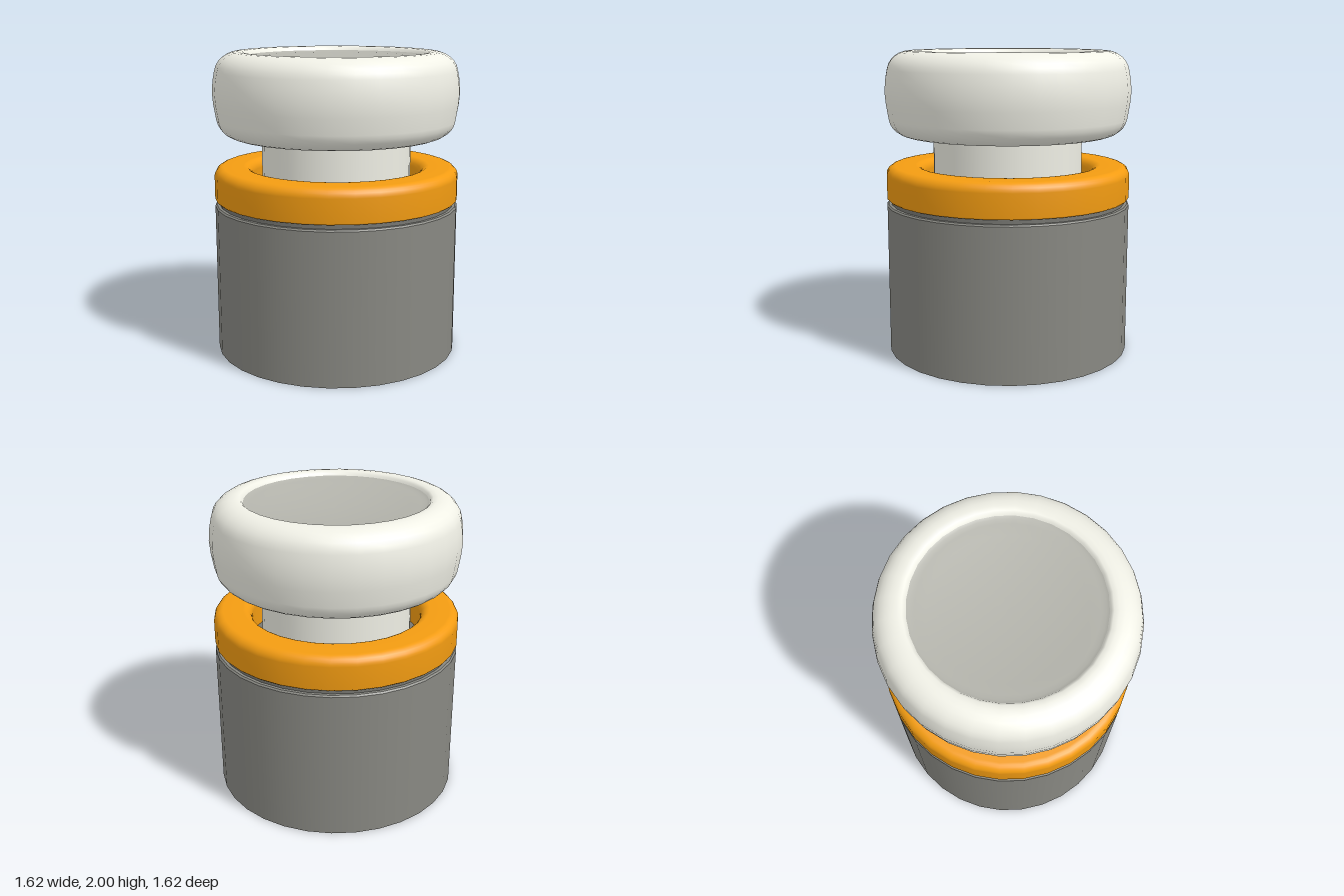
import * as THREE from 'three';

const SEGMENTS = 32;

// Revolves a profile of [radius, height] points; a repeated point makes a sharp edge.
function turned(name, color, profile) {
  const points = profile.map(([r, y]) => new THREE.Vector2(r, y));
  const mesh = new THREE.Mesh(
    new THREE.LatheGeometry(points, SEGMENTS),
    new THREE.MeshStandardMaterial({ color })
  );
  mesh.name = name;
  return mesh;
}

// Points of a quarter ellipse around (cx, cy), from angle a0 to a1 in degrees.
function arc(cx, cy, rx, ry, a0, a1, steps = 6) {
  return Array.from({ length: steps + 1 }, (_, i) => {
    const a = THREE.MathUtils.degToRad(a0 + ((a1 - a0) * i) / steps);
    return [cx + rx * Math.cos(a), cy + ry * Math.sin(a)];
  });
}

export function createModel() {
  const model = new THREE.Group();
  model.name = 'pushButton';

  // Cylindrical housing with a slightly eased top edge
  model.add(turned('housing', 0x888882, [
    [0, 0], [0.81, 0], [0.81, 0],
    [0.81, 0.99], [0.81, 0.99], [0.8, 1], [0.8, 1], [0, 1],
  ]));

  // Recessed spacer between housing and collar
  model.add(turned('spacer', 0x777772, [
    [0.78, 1], [0.78, 1.035], [0.78, 1.035], [0, 1.035],
  ]));

  // Collar ring with rounded edges and an open centre
  model.add(turned('collar', 0xf39c12, [
    [0.56, 1.03], [0.8, 1.03], [0.8, 1.03],
    [0.81, 1.04],
    ...arc(0.75, 1.19, 0.06, 0.06, 0, 90),
    ...arc(0.62, 1.19, 0.06, 0.06, 90, 180),
    [0.56, 1.03],
  ]));

  // Plunger stem
  model.add(turned('stem', 0xeeeee4, [[0.495, 1.0], [0.495, 1.5]]));

  // Cushion-shaped cap with a rolled lip
  model.add(turned('cap', 0xf0f0e6, [
    [0, 1.45], [0.62, 1.45],
    ...arc(0.66, 1.58, 0.13, 0.13, -90, -10),
    [0.805, 1.66], [0.812, 1.74], [0.805, 1.82],
    ...arc(0.64, 1.86, 0.155, 0.14, 8, 90),
    [0.61, 1.997], [0.595, 1.985], [0.585, 1.965],
  ]));

  // Shallow concave finger dish
  const dish = [[0.59, 1.972], [0.57, 1.962]];
  for (let i = 0; i <= 8; i++) {
    const r = 0.54 * (1 - i / 8);
    dish.push([r, 1.915 + 0.045 * (r / 0.54) ** 2]);
  }
  model.add(turned('fingerDish', 0xb4b4ac, dish));

  return model;
}
